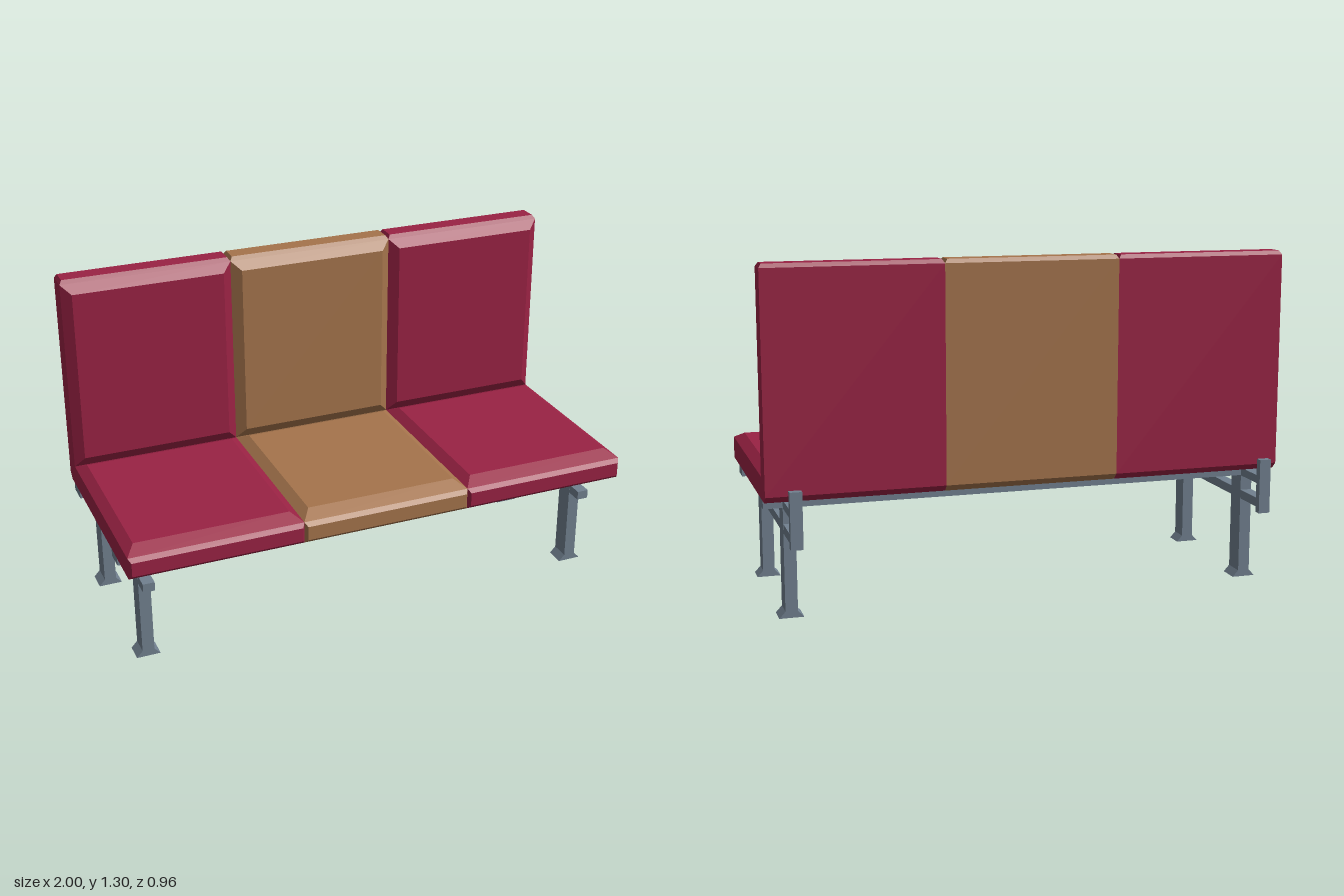
import * as THREE from 'three';

const material = (name, color) => {
  const m = new THREE.MeshStandardMaterial({ color });
  m.name = name;
  return m;
};

// Block between two rectangles [x0, x1, y0, y1]: base at z = 0, face at z = depth.
function taperedBlock(base, face, depth) {
  const g = new THREE.BoxGeometry(1, 1, 1).toNonIndexed();
  const p = g.attributes.position;
  for (let i = 0; i < p.count; i++) {
    const r = p.getZ(i) > 0 ? face : base;
    p.setXYZ(i, p.getX(i) > 0 ? r[1] : r[0], p.getY(i) > 0 ? r[3] : r[2], p.getZ(i) > 0 ? depth : 0);
  }
  g.computeVertexNormals();
  return g;
}

export function createModel() {
  const root = new THREE.Group();
  root.name = 'bench';
  const red = material('red upholstery', 0x9a2244);
  const tan = material('tan upholstery', 0xa5744c);
  const steel = material('grey steel', 0x728190);

  const add = (parent, name, geometry, mat, x = 0, y = 0, z = 0) => {
    const m = new THREE.Mesh(geometry, mat);
    m.name = name;
    m.position.set(x, y, z);
    parent.add(m);
    return m;
  };

  // Upholstered sections: an L-shaped core with bevelled cushion faces
  const W = 2 / 3, h = W / 2, inner = h - 0.037, lip = h - 0.01;
  const profile = [[0.465, 0.445], [0.465, 0.53], [-0.29, 0.53], [-0.29, 1.285],
    [-0.378, 1.285], [-0.378, 0.47], [-0.352, 0.445]];
  const shape = new THREE.Shape(profile.map(([z, y]) => new THREE.Vector2(-z, y)));
  const core = new THREE.ExtrudeGeometry(shape, { depth: W, bevelEnabled: false });
  core.translate(0, 0, -h).rotateY(Math.PI / 2);

  const backPad = taperedBlock([-h, h, 0.53, 1.285], [-inner, inner, 0.572, 1.25], 0.028);
  const frontLip = taperedBlock([-h, h, 0.445, 0.53], [-lip, lip, 0.46, 0.515], 0.015);
  // After this turn the block's y runs towards -z and its depth towards +y
  const seatPad = taperedBlock([-h, h, -0.465, 0.29], [-inner, inner, -0.41, 0.235], 0.025).rotateX(-Math.PI / 2);
  const topLip = taperedBlock([-h, h, 0.29, 0.378], [-lip, lip, 0.30, 0.37], 0.015).rotateX(-Math.PI / 2);

  for (const i of [-1, 0, 1]) {
    const section = new THREE.Group();
    section.name = ['rightSection', 'middleSection', 'leftSection'][i + 1];
    section.position.x = i * W;
    const mat = i === 0 ? tan : red;
    add(section, 'core', core, mat);
    add(section, 'seatCushion', seatPad, mat, 0, 0.53, 0);
    add(section, 'backCushion', backPad, mat, 0, 0, -0.29);
    add(section, 'seatFrontEdge', frontLip, mat, 0, 0, 0.465);
    add(section, 'backTopEdge', topLip, mat, 0, 1.285, 0);
    root.add(section);
  }

  // Steel frame
  const frame = new THREE.Group();
  frame.name = 'frame';
  root.add(frame);
  const bar = (parent, name, w, y0, y1, z0, z1, x = 0) =>
    add(parent, name, new THREE.BoxGeometry(w, y1 - y0, z1 - z0), steel, x, (y0 + y1) / 2, (z0 + z1) / 2);

  const legDepths = [['front', 0.235, 0.31], ['rear', -0.318, -0.235]];
  for (const [end, z0, z1] of legDepths) bar(frame, end + 'Rail', 2, 0.415, 0.445, z0, z1);

  for (const side of [-1, 1]) {
    const trestle = new THREE.Group();
    trestle.name = side < 0 ? 'rightTrestle' : 'leftTrestle';
    trestle.position.x = side * 0.906;
    frame.add(trestle);
    for (const [end, z0, z1] of legDepths) {
      bar(trestle, end + 'Leg', 0.046, 0.02, 0.445, z0, z1);
      // Foot flares sideways only
      const foot = taperedBlock([-0.046, 0.046, -z1, -z0], [-0.023, 0.023, -z1, -z0], 0.025);
      add(trestle, end + 'Foot', foot.rotateX(-Math.PI / 2), steel);
    }
    bar(trestle, 'upperSideBar', 0.045, 0.413, 0.444, -0.454, 0.378);
    bar(trestle, 'lowerSideBar', 0.045, 0.32, 0.355, -0.454, 0.376);
    bar(trestle, 'rearPlate', 0.045, 0.298, 0.508, -0.48, -0.452);
  }
  return root;
}
